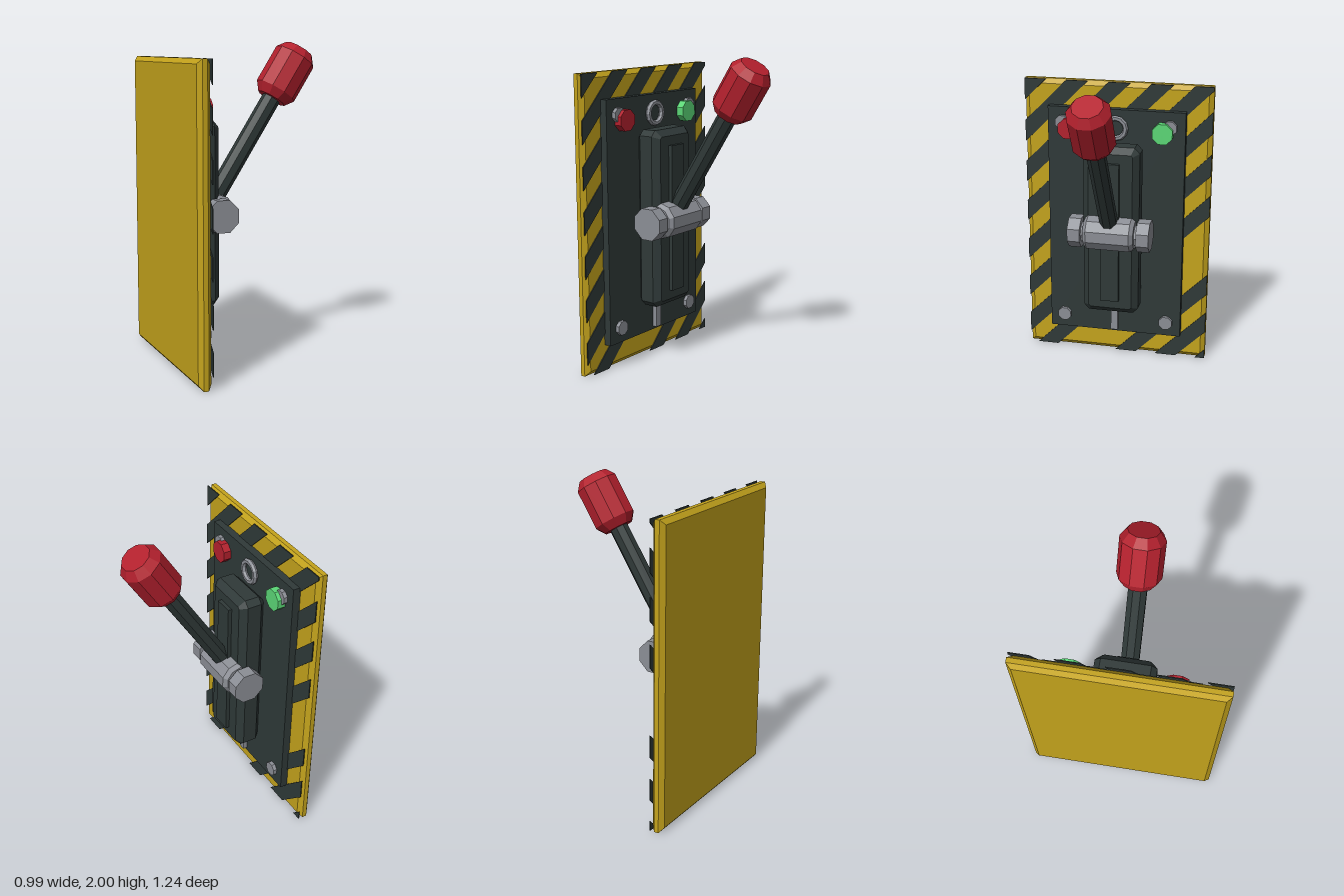
import * as THREE from 'three';

const mat = (name, color) => Object.assign(new THREE.MeshStandardMaterial({ color, flatShading: true }), { name });

export function createModel() {
  const yellow = mat('hazard yellow', 0xc4a31c);
  const dark = mat('charcoal', 0x2f3938);
  const red = mat('red', 0xb3202d);
  const green = mat('green', 0x5bd676);
  const steel = mat('steel grey', 0x8b8e95);
  const group = new THREE.Group();

  const add = (name, geometry, material, x = 0, y = 0, z = 0) => {
    const mesh = new THREE.Mesh(geometry, material);
    mesh.name = name;
    mesh.position.set(x, y, z);
    group.add(mesh);
    return mesh;
  };

  // Extrudes an outline of [-z, y] points along +x from x0 to x1
  const slab = (points, x0, x1, bevel = 0, bevelDepth = bevel) => {
    const shape = new THREE.Shape(points.map(([a, b]) => new THREE.Vector2(a, b)));
    const geo = new THREE.ExtrudeGeometry(shape, {
      depth: x1 - x0 - 2 * bevelDepth, bevelEnabled: bevel > 0,
      bevelSize: bevel, bevelThickness: bevelDepth, bevelSegments: 1,
    });
    return geo.translate(0, 0, x0 + bevelDepth).rotateY(Math.PI / 2);
  };
  const rect = (w, y0, y1) => [[-w, y0], [w, y0], [w, y1], [-w, y1]];
  const cutRect = (w, y0, y1, c) => [
    [-w + c, y0], [w - c, y0], [w, y0 + c], [w, y1 - c],
    [w - c, y1], [-w + c, y1], [-w, y1 - c], [-w, y0 + c]];

  // Cylinders lying along x or z, turned so that flats face the axes
  const discX = (r, len, n = 8) =>
    new THREE.CylinderGeometry(r, r, len, n).rotateY(Math.PI / n).rotateZ(-Math.PI / 2);
  const lathe = (profile, n) =>
    new THREE.LatheGeometry(profile.map(([r, y]) => new THREE.Vector2(r, y)), n);

  // Wall plate
  add('backPlate', slab(rect(0.59, 0.03, 1.875), -0.5, -0.42, 0.03, 0.025), yellow);

  // Diagonal hazard stripes, each a 45 degree band clipped to the plate
  const clip = (poly, side) => poly.flatMap((p, i) => {
    const q = poly[(i + 1) % poly.length];
    const dp = side(p), dq = side(q), out = dp >= 0 ? [p] : [];
    if (dp * dq < 0) {
      const t = dp / (dp - dq);
      out.push([p[0] + t * (q[0] - p[0]), p[1] + t * (q[1] - p[1])]);
    }
    return out;
  });
  for (let i = 0; i < 12; i++) {
    if (i === 8) continue;
    const k = -2.524 + 0.28 * i;
    let band = clip(rect(0.62, 0, 1.905), ([a, b]) => a - b - k);
    band = clip(band, ([a, b]) => k + 0.143 - a + b);
    if (band.length > 2) add('hazardStripe', slab(band, -0.42, -0.414), dark);
  }

  // Mounting panel, chamfered housing and raised lever track
  add('panel', slab(rect(0.453, 0.17, 1.74), -0.42, -0.37), dark);
  add('housing', slab(cutRect(0.145, 0.42, 1.49, 0.012), -0.372, -0.198, 0.04), dark);
  add('leverTrack', slab(rect(0.062, 0.48, 1.43), -0.2, -0.173), dark);

  // Corner bolts and the two lamps
  for (const s of [-1, 1]) {
    for (const y of [0.27, 1.64]) add('cornerBolt', discX(0.048, 0.025), steel, -0.3575, y, s * 0.354);
    add(s > 0 ? 'redLamp' : 'greenLamp', discX(0.071, 0.05), s > 0 ? red : green, -0.345, 1.605, s * 0.31);
  }

  // Ring above and bar below the housing
  add('topRing', new THREE.TorusGeometry(0.067, 0.018, 6, 12).rotateY(Math.PI / 2), steel, -0.356, 1.62, 0);
  add('lowerBar', new THREE.BoxGeometry(0.03, 0.19, 0.048), steel, -0.357, 0.285, 0);

  // Pivot barrel across the housing, with axle and bolt heads
  const barrel = lathe([[0, -0.167], [0.093, -0.167], [0.117, -0.143], [0.117, 0.143], [0.093, 0.167], [0, 0.167]], 10);
  add('pivotBarrel', barrel.rotateX(Math.PI / 2), steel, -0.205, 0.955, 0);
  add('axle', new THREE.CylinderGeometry(0.07, 0.07, 0.4, 8).rotateX(Math.PI / 2), steel, -0.21, 0.95, 0);
  for (const s of [-1, 1]) {
    const head = new THREE.CylinderGeometry(0.108, 0.108, 0.083, 8).rotateY(Math.PI / 8).rotateX(Math.PI / 2);
    add('pivotBoltHead', head, steel, -0.213, 0.952, s * 0.227);
  }

  // Lever arm and grip share one tilted axis, measured from the grip centre
  const lever = new THREE.Group();
  lever.name = 'lever';
  lever.position.set(0.312, 1.797, 0);
  lever.rotation.z = -Math.atan2(0.535, 0.845);
  group.add(lever);
  const arm = new THREE.CylinderGeometry(0.06, 0.06, 0.8, 8).rotateY(Math.PI / 8);
  const armMesh = add('leverArm', arm, dark, 0, -0.5, 0);
  const grip = lathe([[0, -0.18], [0.095, -0.18], [0.136, -0.125], [0.136, 0.125], [0.095, 0.18], [0, 0.18]], 10);
  lever.add(armMesh, add('leverGrip', grip, red));

  return group;
}
